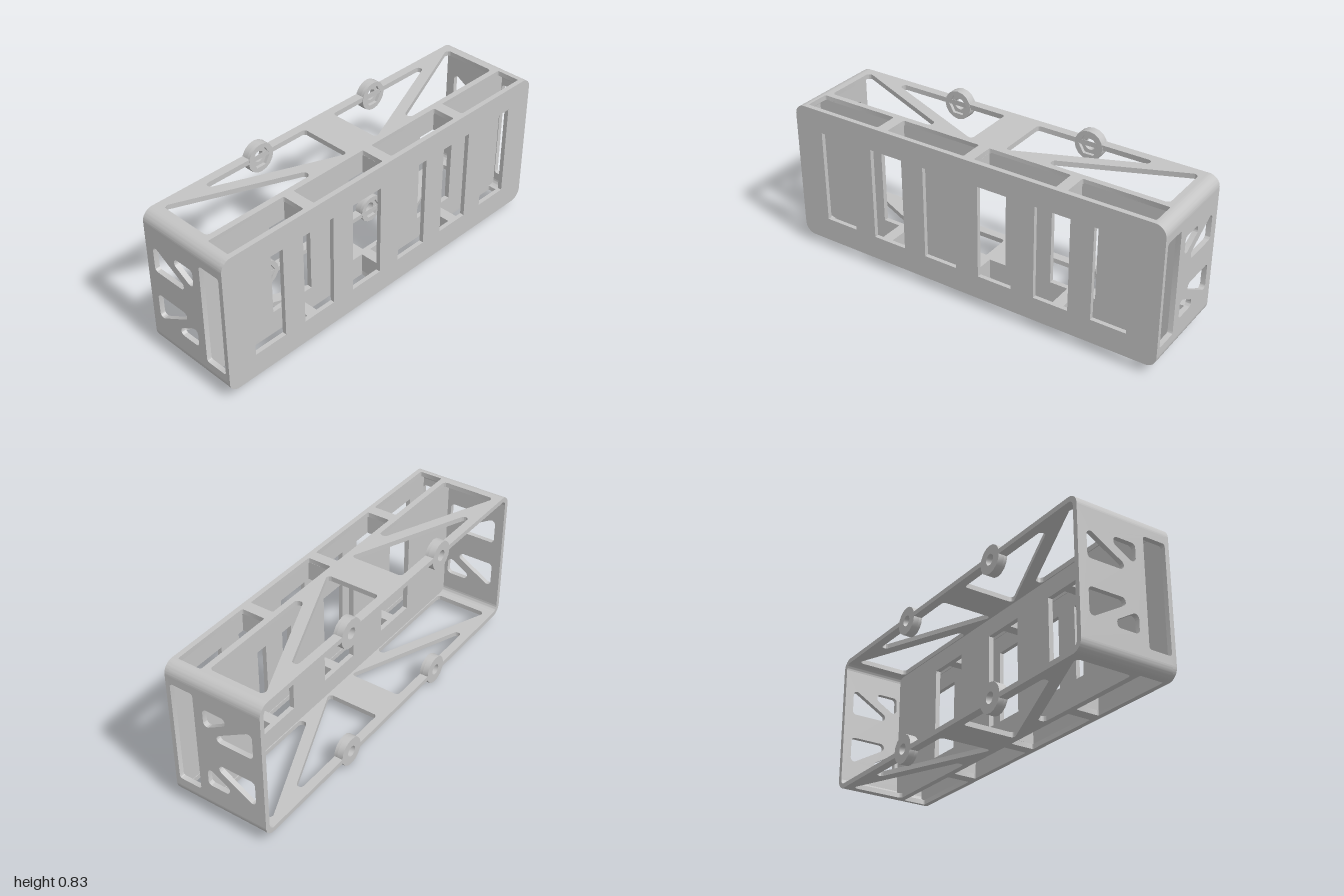
import * as THREE from 'three';
import { toCreasedNormals } from 'three/addons/utils/BufferGeometryUtils.js';

const BOTTOM = 0.05, TOP = 0.775, MID = (BOTTOM + TOP) / 2;
const BACK = -0.25, FRONT = 0.25, SKIN = 0.228; // SKIN: rear of the front plate
const R = 0.055, T = 0.025;                     // corner radius, wall thickness
const SILL = 0.174, HEAD = 0.657;               // bottom and top of all windows

// Trace a polygon with every corner rounded to radius r
function rounded(path, pts, r) {
  const n = pts.length, v = pts.map(p => new THREE.Vector2(p[0], p[1]));
  v.forEach((p, i) => {
    const a = v[(i + n - 1) % n].clone().sub(p).normalize();
    const b = v[(i + 1) % n].clone().sub(p).normalize();
    const half = Math.acos(a.dot(b)) / 2;
    const c = a.clone().add(b).normalize().multiplyScalar(r / Math.sin(half)).add(p);
    const cut = r / Math.tan(half);
    const s = a.clone().multiplyScalar(cut).add(p).sub(c);
    const e = b.clone().multiplyScalar(cut).add(p).sub(c);
    path.absarc(c.x, c.y, r, s.angle(), e.angle(), a.cross(b) > 0);
  });
  path.closePath();
  return path;
}

const poly = pts => new THREE.Shape(pts.map(p => new THREE.Vector2(p[0], p[1])));
const hole = (pts, r) => rounded(new THREE.Path(), pts, r);
const rect = (x0, y0, x1, y1) => [[x0, y0], [x1, y0], [x1, y1], [x0, y1]];
const straightHole = pts => new THREE.Path(pts.map(p => new THREE.Vector2(p[0], p[1])));

function extrude(shape, depth) {
  return new THREE.ExtrudeGeometry(shape, { depth, bevelEnabled: false, curveSegments: 8 });
}

export function createModel() {
  const model = new THREE.Group();
  model.name = 'frame';
  const grey = new THREE.MeshStandardMaterial({ color: 0xc4c4c4 });
  grey.name = 'grey';
  const add = (name, geometry, x = 0, y = 0, z = 0) => {
    const mesh = new THREE.Mesh(toCreasedNormals(geometry, 0.5), grey);
    mesh.name = name;
    mesh.position.set(x, y, z);
    model.add(mesh);
  };

  // Front plate with six windows
  const front = rounded(new THREE.Shape(), rect(-1, BOTTOM, 1, TOP), R);
  for (const side of [-1, 1])
    for (const [a, b] of [[0.062, 0.243], [0.365, 0.547], [0.665, 0.845]])
      front.holes.push(straightHole(rect(side * a, SILL, side * b, HEAD)));
  add('frontPlate', extrude(front, FRONT - SKIN), 0, 0, SKIN);

  // Inner panel with three wider windows
  const inner = poly(rect(-0.98, BOTTOM + 0.02, 0.98, TOP - 0.02));
  for (const [a, b] of [[-0.605, -0.365], [-0.12, 0.118], [0.365, 0.605]])
    inner.holes.push(straightHole(rect(a, SILL, b, HEAD)));
  add('innerPanel', extrude(inner, 0.025), 0, 0, 0.077);

  // Short dividers between the bays, above and below the windows
  for (const x of [-0.486, 0, 0.486])
    for (const [y0, y1] of [[BOTTOM + T, SILL], [HEAD, TOP - T]])
      add('divider', new THREE.BoxGeometry(0.057, y1 - y0, 0.13), x, (y0 + y1) / 2, 0.165);

  // Top and bottom plates, drawn in x and z, notched at the back for the bosses
  const edge = 1 - R, bossX = 0.365, w = 0.066, notch = BACK + 0.042;
  const deck = poly([
    [-edge, BACK], [-bossX - w, BACK], [-bossX - w, notch], [-bossX + w, notch], [-bossX + w, BACK],
    [bossX - w, BACK], [bossX - w, notch], [bossX + w, notch], [bossX + w, BACK], [edge, BACK],
    [edge, SKIN + 0.005], [-edge, SKIN + 0.005],
  ]);
  for (const s of [-1, 1]) {
    const flip = pts => pts.map(([x, z]) => [s * x, z]);
    deck.holes.push(
      hole(flip([[0.918, -0.216], [0.918, 0.072], [0.325, 0.072], [0.325, 0.036]]), 0.02),
      hole(flip([[0.69, -0.206], [0.092, -0.206], [0.092, 0.074], [0.69, -0.176]]), 0.017),
      hole(flip(rect(0.028, 0.102, 0.457, 0.225)), 0.008),
      hole(flip(rect(0.515, 0.102, 0.938, 0.225)), 0.008),
    );
  }
  const deckGeometry = extrude(deck, T).rotateX(Math.PI / 2);
  add('topPlate', deckGeometry, 0, TOP, 0);
  add('bottomPlate', deckGeometry, 0, BOTTOM + T, 0);

  // End walls, drawn in z and y
  const end = poly(rect(BACK, BOTTOM + R, SKIN + 0.005, TOP - R));
  end.holes.push(hole(rect(0.105, 0.146, 0.2275, 0.681), 0.013));
  for (const s of [-1, 1]) {
    const flip = pts => pts.map(([z, y]) => [z, MID + s * (y - MID)]);
    end.holes.push(
      hole(flip([[0.058, 0.626], [0.058, 0.521], [-0.061, 0.59], [-0.061, 0.626]]), 0.02),
      hole(flip([[-0.203, 0.478], [-0.01, 0.478], [-0.01, 0.511], [-0.203, 0.623]]), 0.02),
    );
  }
  const endGeometry = extrude(end, T).rotateY(-Math.PI / 2);
  add('leftEndWall', endGeometry, 1, 0, 0);
  add('rightEndWall', endGeometry, -1 + T, 0, 0);

  // Rounded long corners joining the plates and end walls
  for (let i = 0; i < 4; i++) {
    const a = i * Math.PI / 2, b = a + Math.PI / 2;
    const corner = new THREE.Shape();
    corner.absarc(0, 0, R, a, b, false);
    corner.absarc(0, 0, R - T, b, a, true);
    corner.closePath();
    const sx = i === 0 || i === 3 ? 1 : -1, top = i < 2;
    add('corner', extrude(corner, SKIN + 0.005 - BACK), sx * edge, top ? TOP - R : BOTTOM + R, BACK);
  }

  // Screw bosses: round hole at the back, hexagonal nut pocket at the front
  const disc = () => new THREE.Shape().absarc(0, 0, 0.073, 0, Math.PI * 2, false);
  const pocket = disc(), base = disc();
  pocket.holes.push(straightHole(Array.from({ length: 6 }, (_, i) =>
    [0.052 * Math.cos(i * Math.PI / 3), 0.052 * Math.sin(i * Math.PI / 3)])));
  base.holes.push(new THREE.Path().absarc(0, 0, 0.028, 0, Math.PI * 2, true));
  for (const x of [-bossX, bossX])
    for (const y of [0.073, 0.753]) {
      add('bossBase', extrude(base, 0.03), x, y, BACK);
      add('bossNutPocket', extrude(pocket, 0.016), x, y, BACK + 0.03);
    }
  return model;
}
